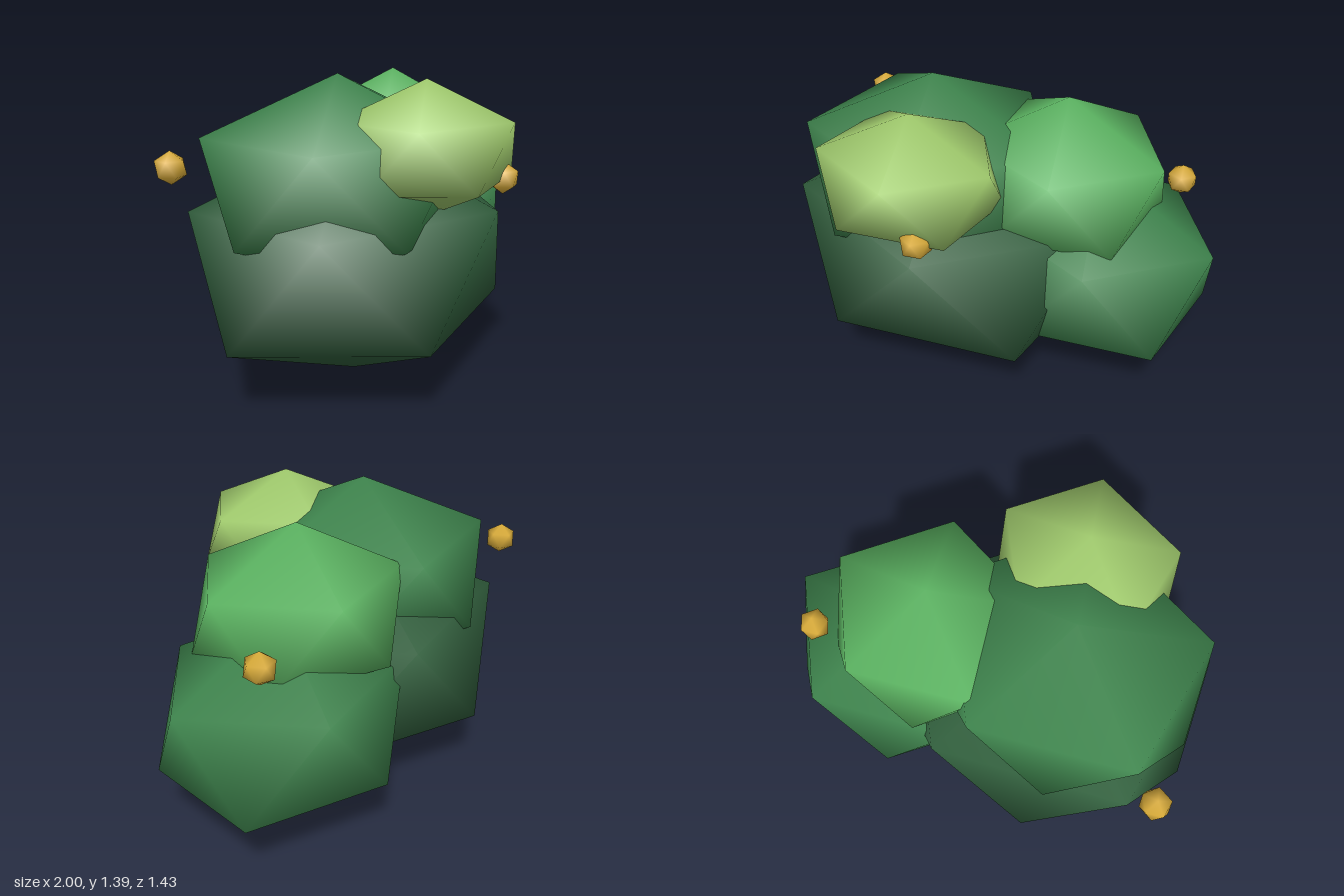
import * as THREE from 'three';

// Smooth-shaded icosahedron standing on a vertex, stretched to the given radii
function blobGeometry(rx, ry, rz) {
  const ringY = 1 / Math.sqrt(5), ringR = 2 / Math.sqrt(5);
  const points = [0, ry, 0, 0, -ry, 0];
  const index = [];
  for (let i = 0; i < 5; i++) {
    for (const side of [0, 1]) {
      const a = (i * 2 + side) * Math.PI / 5;
      points.push(ringR * Math.cos(a) * rx, (side ? -ringY : ringY) * ry, ringR * Math.sin(a) * rz);
    }
    const j = (i + 1) % 5;
    const u = 2 + i * 2, l = u + 1, u2 = 2 + j * 2, l2 = u2 + 1;
    index.push(0, u2, u, u, u2, l, l, u2, l2, 1, l, l2);
  }
  const g = new THREE.BufferGeometry();
  g.setAttribute('position', new THREE.Float32BufferAttribute(points, 3));
  g.setIndex(index);
  g.computeVertexNormals();
  return g;
}

function material(name, color) {
  const m = new THREE.MeshStandardMaterial({ color });
  m.name = name;
  return m;
}

export function createModel() {
  const group = new THREE.Group();
  group.name = 'bush';
  const dark = material('dark green', 0x32613e);
  const mid = material('mid green', 0x3f864e);
  const light = material('light green', 0x5cb562);
  const lime = material('lime green', 0xa2cd6e);
  const gold = material('gold', 0xdcae3a);

  const add = (name, mat, center, radii) => {
    const mesh = new THREE.Mesh(blobGeometry(...radii), mat);
    mesh.name = name;
    mesh.position.set(...center);
    group.add(mesh);
  };

  // Foliage clumps
  add('mainFoliage', dark, [-0.23, 0.575, 0], [0.85, 0.57, 0.737]);
  add('sideFoliage', mid, [0.435, 0.553, -0.24], [0.632, 0.488, 0.553]);
  add('upperFoliage', mid, [-0.32, 0.948, 0.005], [0.685, 0.452, 0.625]);
  add('upperSideFoliage', light, [0.28, 0.98, -0.18], [0.526, 0.39, 0.482]);
  add('frontFoliage', lime, [-0.17, 1.095, 0.37], [0.46, 0.295, 0.415]);

  // Berries
  const berries = [[-0.935, 1.038, -0.365], [0.045, 0.97, 0.62], [0.73, 0.975, -0.455]];
  for (const center of berries) add('berry', gold, center, [0.072, 0.072, 0.072]);

  return group;
}
